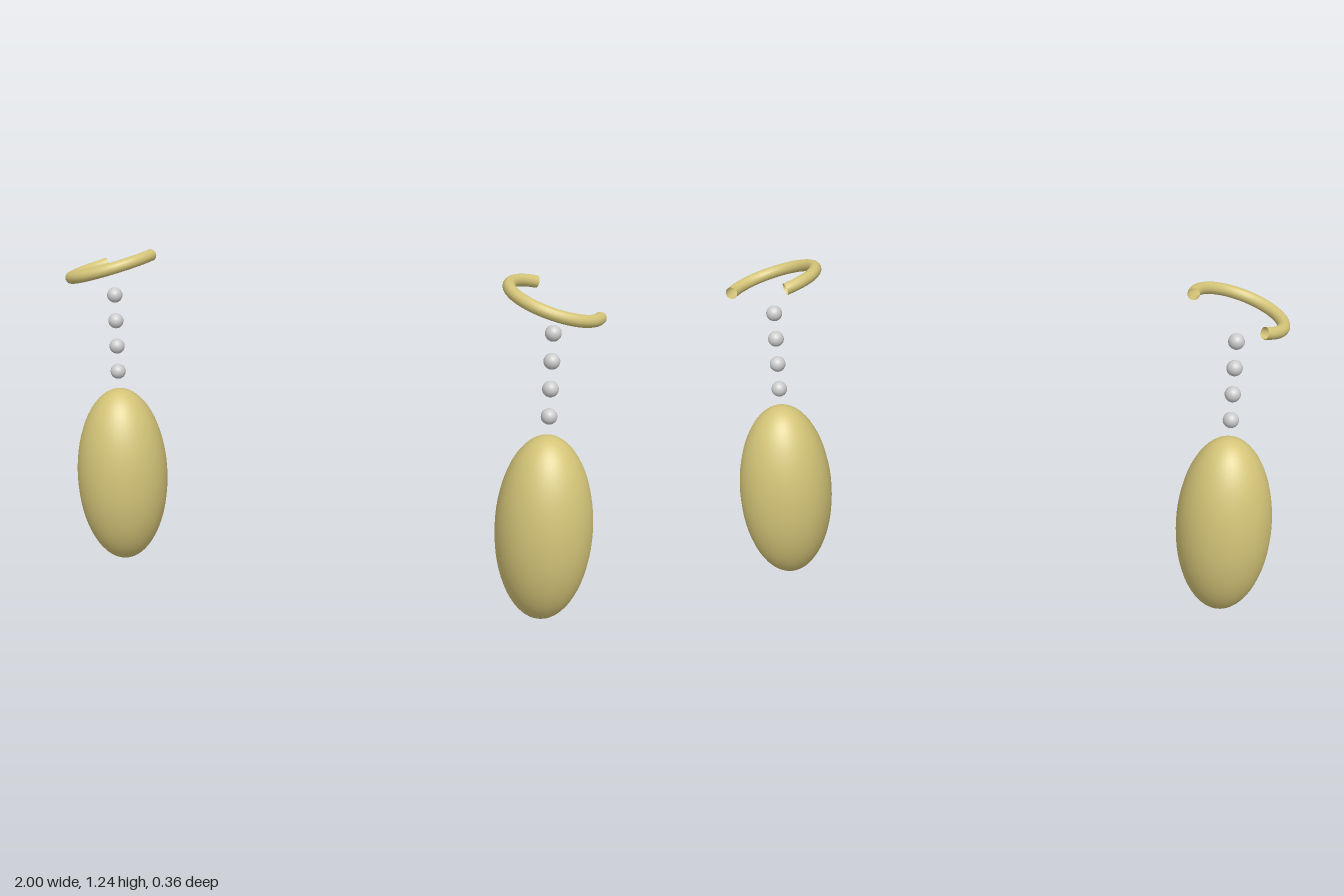
import * as THREE from 'three';

const gold = new THREE.MeshStandardMaterial({ color: 0xd4c478, side: THREE.DoubleSide });
const silver = new THREE.MeshStandardMaterial({ color: 0xcccccc });

function part(name, geometry, material, y) {
  const mesh = new THREE.Mesh(geometry, material);
  mesh.name = name;
  mesh.position.y = y;
  return mesh;
}

// One drop earring; side is +1 for the model's left, -1 for its right
function createEarring(side) {
  const earring = new THREE.Group();
  earring.name = side > 0 ? 'leftEarring' : 'rightEarring';

  // Long egg-shaped drop
  const drop = new THREE.SphereGeometry(0.172, 40, 32).scale(1, 2, 1);
  earring.add(part('drop', drop, gold, 0.344));

  // Loose string of four beads
  const bead = new THREE.SphereGeometry(0.0285, 24, 16);
  for (let i = 0; i < 4; i++) {
    earring.add(part('bead', bead, silver, 0.758 + i * 0.0985));
  }

  // Open hollow hoop, lying flat and tilted down towards the outside
  const ring = new THREE.TorusGeometry(0.162, 0.0215, 16, 64, Math.PI * 1.3).rotateX(Math.PI / 2);
  const hoop = part('hoop', ring, gold, 1.168);
  hoop.rotation.z = -0.3 * side;
  earring.add(hoop);

  earring.position.set(0.823 * side, 0, -0.006);
  return earring;
}

export function createModel() {
  const model = new THREE.Group();
  model.name = 'earrings';
  for (const side of [-1, 1]) model.add(createEarring(side));
  return model;
}
